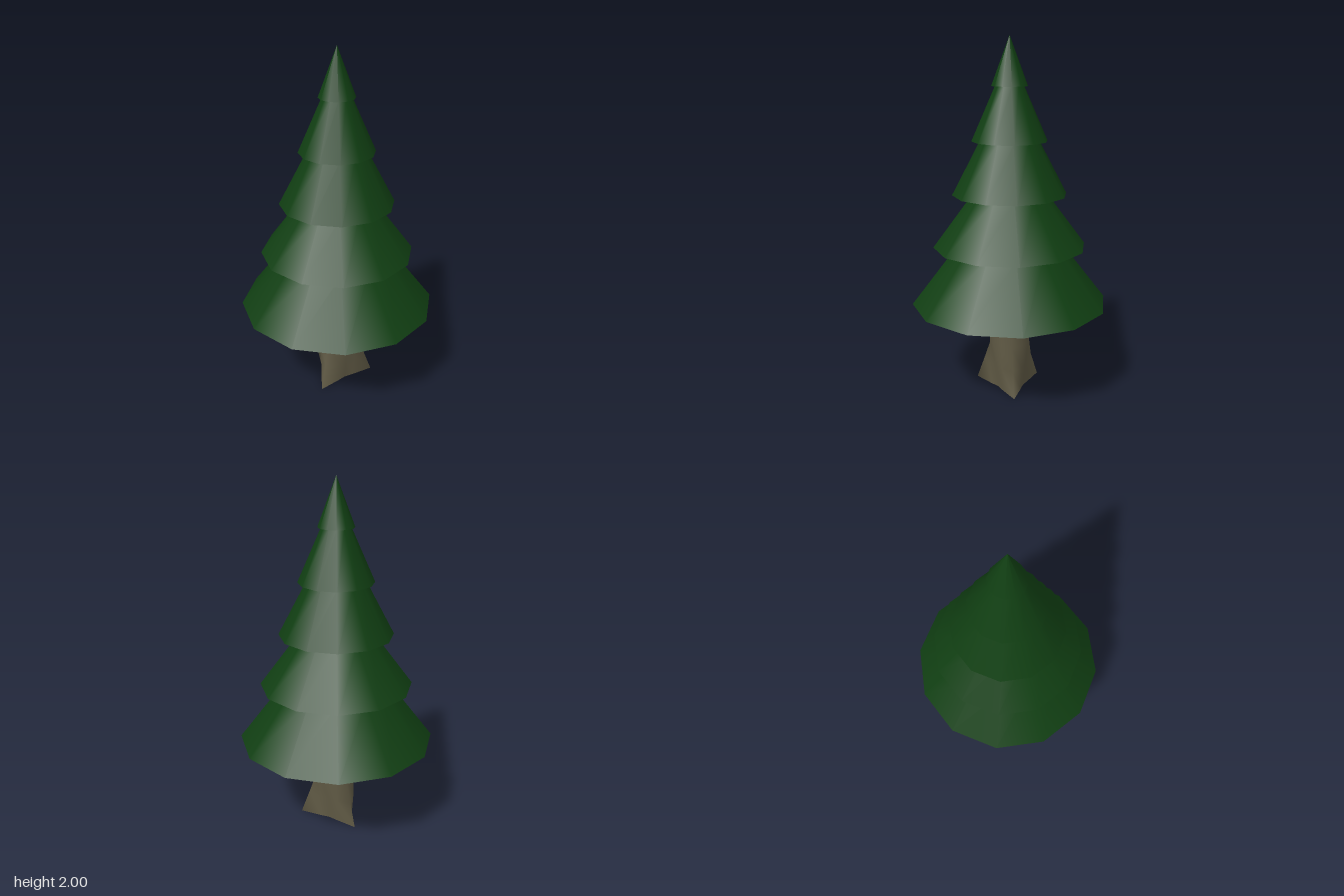
import * as THREE from 'three';
import { mergeVertices } from 'three/addons/utils/BufferGeometryUtils.js';

const SIDES = 12;

export function createModel() {
  const needles = new THREE.MeshStandardMaterial({ color: 0x103e12 });
  needles.name = 'needle green';
  const bark = new THREE.MeshStandardMaterial({ color: 0x5f5944 });
  bark.name = 'bark brown';

  const tree = new THREE.Group();
  tree.name = 'pineTree';

  // Foliage tiers: [bottom y, top y, bottom radius, top radius]
  const tiers = [
    [0.52, 0.85, 0.555, 0.3],
    [0.85, 1.145, 0.43, 0.21],
    [1.145, 1.44, 0.32, 0.165],
    [1.44, 1.735, 0.21, 0.08],
    [1.735, 2, 0.1, 0],
  ];
  tiers.forEach(([y0, y1, r0, r1], i) => {
    const tier = new THREE.Mesh(new THREE.CylinderGeometry(r1, r0, y1 - y0, SIDES), needles);
    tier.position.y = (y0 + y1) / 2;
    tier.name = `foliageTier${i + 1}`;
    tree.add(tier);
  });

  // Trunk rings from top to ground: [y, root radius, shoulder radius, hollow radius]
  const rings = [
    [0.52, 0.115, 0.115, 0.115],
    [0.27, 0.115, 0.115, 0.115],
    [0.14, 0.16, 0.117, 0.098],
    [0, 0.21, 0.107, 0.085],
  ];
  // Three roots, the first one pointing to +x
  const ringPoint = (ring, k) => {
    const [y, root, shoulder, hollow] = ring;
    const r = [root, shoulder, hollow, shoulder][k % 4];
    const a = (k / SIDES) * Math.PI * 2;
    return new THREE.Vector3(r * Math.cos(a), y, -r * Math.sin(a));
  };

  let sides = new THREE.CylinderGeometry(1, 1, 1, SIDES, rings.length - 1, true);
  const pos = sides.attributes.position;
  for (let i = 0; i < pos.count; i++) {
    const p = ringPoint(rings[Math.floor(i / (SIDES + 1))], i % (SIDES + 1) % SIDES);
    // the cylinder runs the other way round, so mirror z
    pos.setXYZ(i, p.x, p.y, -p.z);
  }
  // the rule starts at +x and turns towards +z: flip the faces to look outward
  const index = sides.index.array;
  for (let i = 0; i < index.length; i += 3) [index[i], index[i + 1]] = [index[i + 1], index[i]];
  sides.deleteAttribute('uv');
  sides.deleteAttribute('normal');
  sides = mergeVertices(sides);
  sides.computeVertexNormals();
  const trunk = new THREE.Mesh(sides, bark);
  trunk.name = 'trunk';
  tree.add(trunk);

  // Underside of the roots
  const outline = [];
  for (let k = 0; k < SIDES; k++) {
    const p = ringPoint(rings[rings.length - 1], k);
    outline.push(new THREE.Vector2(p.x, p.z));
  }
  const base = new THREE.Mesh(new THREE.ShapeGeometry(new THREE.Shape(outline)), bark);
  base.rotation.x = Math.PI / 2;
  base.name = 'trunkBase';
  tree.add(base);

  // Centre the outline of the tree on the ground
  const box = new THREE.Box3().setFromObject(tree);
  const c = box.getCenter(new THREE.Vector3());
  tree.children.forEach((m) => { m.position.x -= c.x; m.position.z -= c.z; });
  return tree;
}
